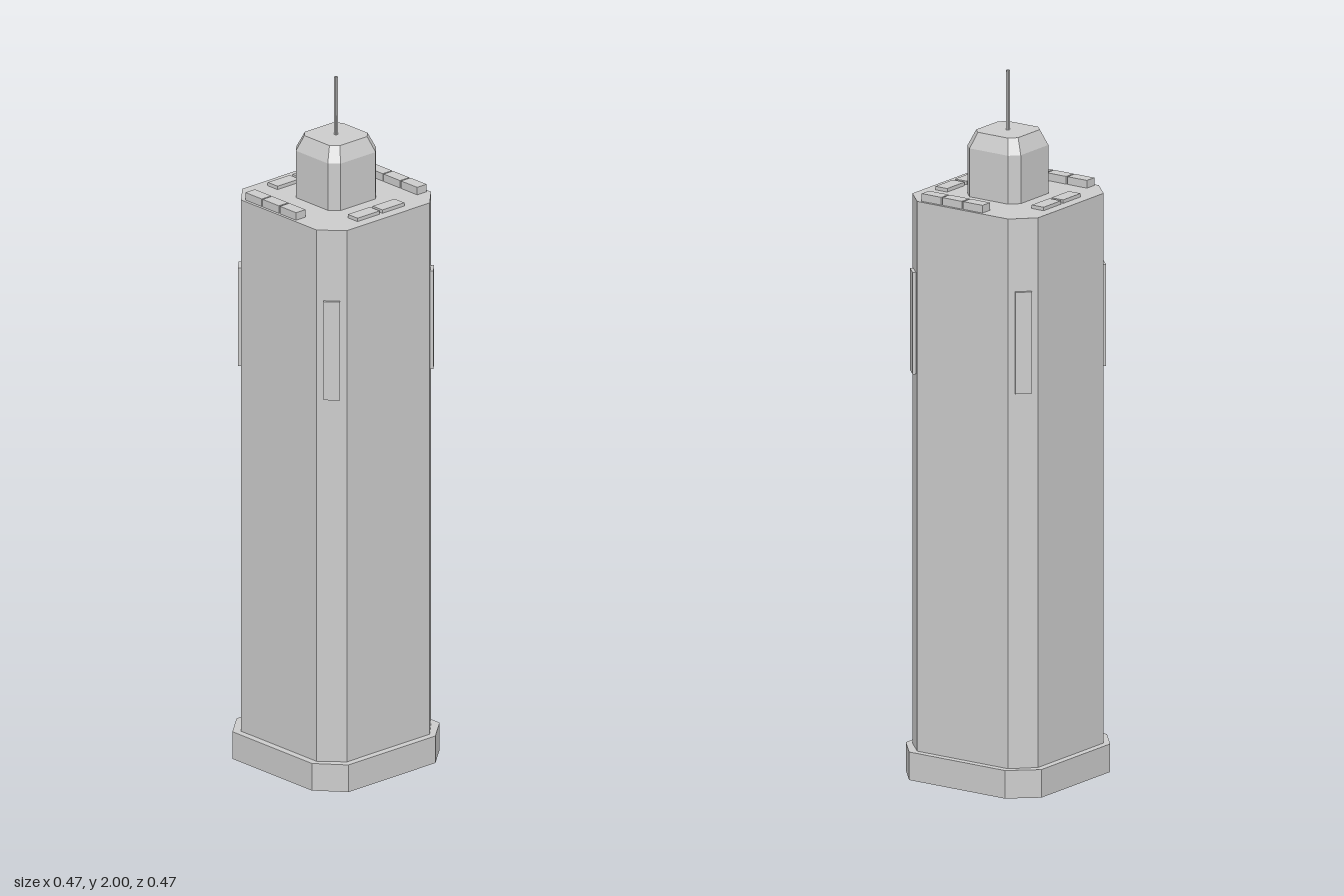
import * as THREE from 'three';

const material = new THREE.MeshStandardMaterial({ color: 0xcccccc, flatShading: true });

// Chamfered-square ring: half width h, edge ends a and b, repeated by quarter turns.
function ring([y, h, a, b = a]) {
  const points = [];
  let corners = [[h, a], [h, -b]];
  for (let i = 0; i < 4; i++) {
    points.push(...corners.map(([x, z]) => new THREE.Vector3(x, y, z)));
    corners = corners.map(([x, z]) => [z, -x]);
  }
  return points;
}

// Closed solid lofted through rings from bottom to top.
function loft(name, sections) {
  const rings = sections.map(ring);
  const pos = [];
  const tri = (...v) => v.forEach((p) => pos.push(p.x, p.y, p.z));
  const bottom = rings[0];
  const top = rings[rings.length - 1];
  for (let i = 0; i < 8; i++) {
    const j = (i + 1) % 8;
    for (let k = 0; k < rings.length - 1; k++) {
      const lo = rings[k], hi = rings[k + 1];
      tri(lo[i], lo[j], hi[j]);
      tri(lo[i], hi[j], hi[i]);
    }
    if (i > 0 && i < 7) {
      tri(top[0], top[i], top[j]);
      tri(bottom[0], bottom[j], bottom[i]);
    }
  }
  const geometry = new THREE.BufferGeometry();
  geometry.setAttribute('position', new THREE.Float32BufferAttribute(pos, 3));
  geometry.computeVertexNormals();
  const mesh = new THREE.Mesh(geometry, material);
  mesh.name = name;
  return mesh;
}

function box(name, w, h, d, x, y, z, turn = 0) {
  const mesh = new THREE.Mesh(new THREE.BoxGeometry(w, h, d), material);
  mesh.name = name;
  mesh.position.set(x, y, z);
  mesh.rotation.y = turn;
  return mesh;
}

export function createModel() {
  const model = new THREE.Group();
  model.name = 'skyscraper';

  // Plinth, shaft, tapered penthouse and mast
  model.add(
    loft('plinth', [[0, 0.233, 0.167, 0.157], [0.08, 0.233, 0.167, 0.157]]),
    loft('tower', [[0.08, 0.213, 0.154], [1.648, 0.213, 0.154]]),
    loft('penthouse', [[1.648, 0.09, 0.065], [1.786, 0.09, 0.065], [1.83, 0.071, 0.051]]),
    loft('mast', [[1.83, 0.005, 0.0035], [2, 0.004, 0.003]])
  );

  // Roof units: three along the front and back, two on each side
  for (const s of [1, -1]) {
    for (const x of [-0.112, -0.042, 0.028]) {
      model.add(box('roofUnit', 0.066, 0.022, 0.035, s * x, 1.659, s * 0.187));
    }
    for (const z of [-0.046, 0.046]) {
      model.add(box('sideRoofUnit', 0.04, 0.01, 0.082, s * 0.163, 1.653, z));
    }
  }

  // Raised panel on every chamfered corner
  for (const sx of [1, -1]) {
    for (const sz of [1, -1]) {
      model.add(box('cornerPanel', 0.046, 0.29, 0.009,
        sx * 0.187, 1.295, sz * 0.187, sx * sz * Math.PI / 4));
    }
  }
  return model;
}
